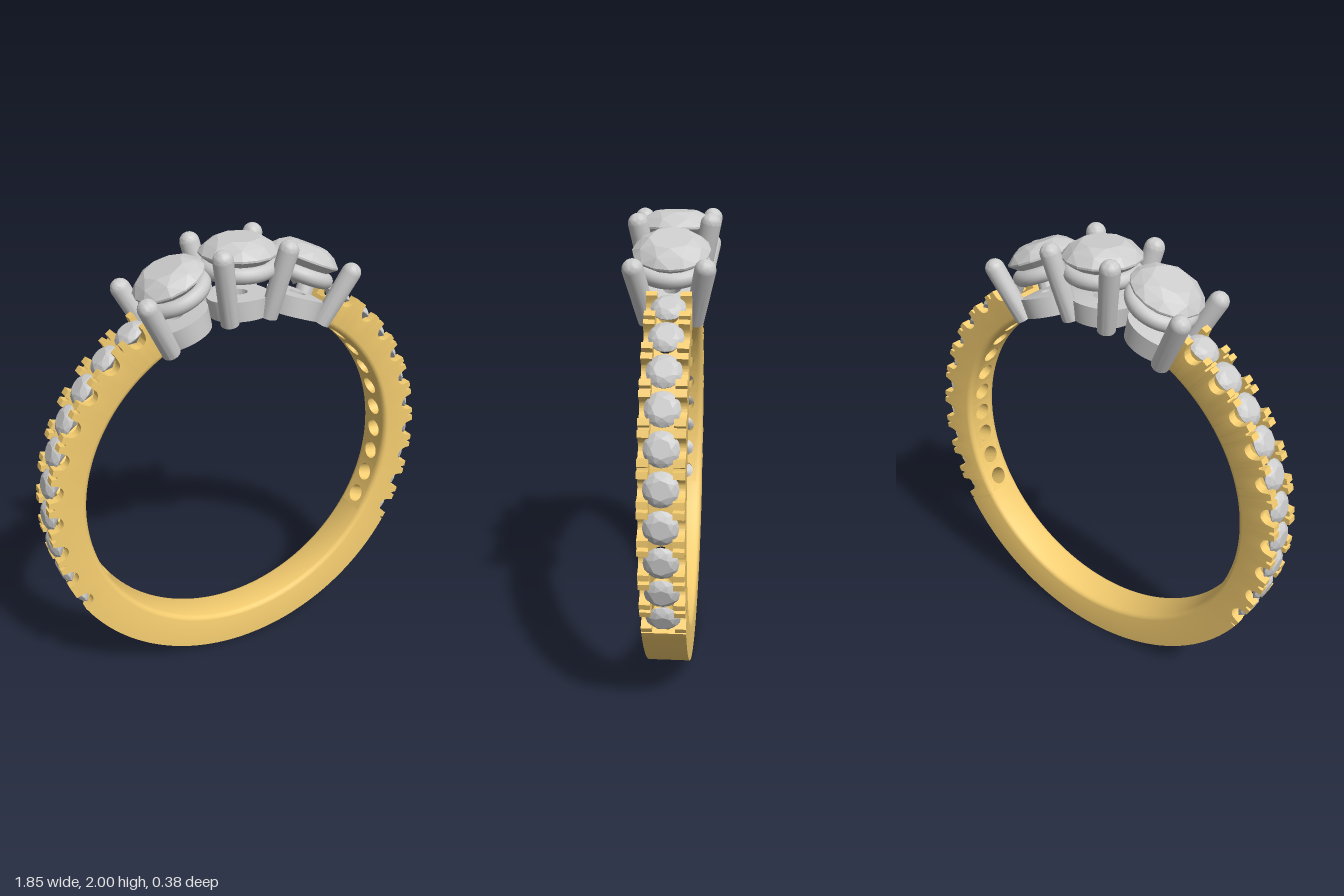
import * as THREE from 'three';
import { toCreasedNormals } from 'three/addons/utils/BufferGeometryUtils.js';
import { ConvexGeometry } from 'three/addons/geometries/ConvexGeometry.js';

const R = 0.922, IN = 0.757, CY = 0.922, HALF = 0.088; // band radii, centre height, half width
const FLOOR = 0.86, COUNT = 10;
const deg = THREE.MathUtils.degToRad;
const FIRST = deg(56.8), PITCH = deg(9.25);            // small stones, counted down from the top

const gold = new THREE.MeshStandardMaterial({ color: 0xf5cd70 });
const grey = new THREE.MeshStandardMaterial({ color: 0xcccccc });

function add(parent, name, geometry, material) {
  const mesh = new THREE.Mesh(geometry, material);
  mesh.name = name;
  parent.add(mesh);
  return mesh;
}

// Sweeps a counter-clockwise [radius, z] section around the ring centre, with end caps
function sweep(section, from, to, steps) {
  const pos = [], index = [];
  let n = 0;
  const put = (r, z, a) => pos.push(r * Math.cos(a), CY + r * Math.sin(a), z);
  for (let j = 0; j <= steps; j++) {
    const a = from + (to - from) * j / steps;
    const pts = section(a);
    n = pts.length;
    pts.forEach(([r, z]) => put(r, z, a));
  }
  for (let j = 0; j < steps; j++) {
    for (let i = 0; i < n; i++) {
      const a = j * n + i, b = j * n + (i + 1) % n;
      index.push(a, a + n, b, b, a + n, b + n);
    }
  }
  [[from, 0], [to, steps * n]].forEach(([a, base], end) => {
    const pts = section(a), c = pos.length / 3;
    put(FLOOR, pts.reduce((s, p) => s + p[1], 0) / n, a);
    for (let i = 0; i < n; i++) {
      const p = base + i, q = base + (i + 1) % n;
      if (end) index.push(c, q, p); else index.push(c, p, q);
    }
  });
  const g = new THREE.BufferGeometry();
  g.setAttribute('position', new THREE.Float32BufferAttribute(pos, 3));
  g.setIndex(index);
  return toCreasedNormals(g, 0.6);
}

// Wraps a flat part around the ring: x runs along the band, y is the radius
function bend(g, angle) {
  const p = g.attributes.position;
  for (let i = 0; i < p.count; i++) {
    const a = angle - p.getX(i) / IN, r = p.getY(i);
    p.setXY(i, r * Math.cos(a), CY + r * Math.sin(a));
  }
  return toCreasedNormals(g, 0.6);
}

// Round brilliant cut, girdle at y = 0
function gem(r) {
  const pts = [new THREE.Vector3(0, -0.82 * r, 0)];
  const ring = (n, rad, y, shift) => {
    for (let i = 0; i < n; i++) {
      const a = (i + shift) / n * Math.PI * 2;
      pts.push(new THREE.Vector3(rad * r * Math.cos(a), y * r, rad * r * Math.sin(a)));
    }
  };
  ring(8, 0.55, 0.34, 0);
  ring(8, 0.82, 0.2, 0.5);
  ring(16, 1, 0, 0);
  ring(16, 1, -0.05, 0);
  return new ConvexGeometry(pts);
}

// Outer radius of the side walls: U-cut beside each stone, thin slit between prongs
function wallRadius(a) {
  const phi = Math.cos(a) < 0 ? Math.PI - a : a;
  const k = THREE.MathUtils.clamp(Math.round((FIRST - phi) / PITCH), 0, COUNT - 1);
  const t = Math.abs(FIRST - k * PITCH - phi) * R;
  if (t < 0.038) return R - 0.02 - Math.sqrt(0.038 ** 2 - t * t);
  return t > 0.068 ? R - 0.022 : R;
}

// Rounded inner edge, from the side face to the bore
const lip = [[IN + 0.022, HALF], [IN + 0.012, 0.085], [IN + 0.004, 0.077], [IN, 0.066]];
const flip = (pts) => pts.map(([r, z]) => [r, -z]).reverse();
const wall = (a) => {
  const r = wallRadius(a);
  return [[IN, 0.058], [FLOOR, 0.058], [FLOOR, 0.045], [r, 0.045], [r, HALF], ...lip];
};

// One length of the band's core, pierced under its stone
function coreCell() {
  const w = PITCH * IN / 2, h = 0.06, n = 8, pts = [];
  for (let i = 0; i <= n; i++) pts.push(new THREE.Vector2(-w + 2 * w * i / n, -h));
  for (let i = n; i >= 0; i--) pts.push(new THREE.Vector2(-w + 2 * w * i / n, h));
  const shape = new THREE.Shape(pts);
  shape.holes.push(new THREE.Path().absarc(0, 0, 0.042, 0, Math.PI * 2, true));
  const g = new THREE.ExtrudeGeometry(shape, { depth: FLOOR - IN, bevelEnabled: false, curveSegments: 24 });
  return g.rotateX(-Math.PI / 2).translate(0, IN, 0);
}

// Claw with a round tip
function prong(parent, name, bottom, top) {
  const a = new THREE.Vector3(...bottom), b = new THREE.Vector3(...top);
  const dir = b.clone().sub(a), len = dir.length(), r = 0.042;
  const profile = [new THREE.Vector2(0, 0), new THREE.Vector2(r * 0.92, 0), new THREE.Vector2(r, len)];
  for (let i = 1; i <= 8; i++) {
    const t = i / 8 * Math.PI / 2;
    profile.push(new THREE.Vector2(i === 8 ? 0 : r * Math.cos(t), len + r * Math.sin(t)));
  }
  const mesh = add(parent, name, toCreasedNormals(new THREE.LatheGeometry(profile, 24), 0.6), grey);
  mesh.position.copy(a);
  mesh.quaternion.setFromUnitVectors(new THREE.Vector3(0, 1, 0), dir.normalize());
}

// Large stone with its gallery ring below
function setting(parent, name, radius, x, y, tilt) {
  const g = new THREE.Group();
  g.name = name;
  g.position.set(x, y, 0);
  g.rotation.z = tilt;
  add(g, 'stone', gem(radius), grey);
  const rail = add(g, 'galleryRing', new THREE.TorusGeometry(radius - 0.033, 0.033, 16, 48), grey);
  rail.rotation.x = Math.PI / 2;
  rail.position.y = -0.068;
  parent.add(g);
}

export function createModel() {
  const model = new THREE.Group();

  // Plain lower band
  const low = FIRST - (COUNT - 0.5) * PITCH;
  const plain = [...flip([[R, HALF], ...lip]), ...[[R, HALF], ...lip]];
  add(model, 'lowerBand', sweep(() => plain, Math.PI - low, Math.PI * 2 + low, 80), gold);

  // Stone-set shoulders
  const high = deg(61), steps = 340;
  for (const side of [1, -1]) {
    const shoulder = new THREE.Group();
    shoulder.name = side > 0 ? 'leftShoulder' : 'rightShoulder';
    const [from, to] = side > 0 ? [low, high] : [Math.PI - high, Math.PI - low];
    add(shoulder, 'frontProngWall', sweep(wall, from, to, steps), gold);
    add(shoulder, 'backProngWall', sweep((a) => flip(wall(a)), from, to, steps), gold);
    for (let k = 0; k < COUNT; k++) {
      const phi = FIRST - k * PITCH, a = side > 0 ? phi : Math.PI - phi;
      add(shoulder, 'piercedCore', bend(coreCell(), a), gold);
      const stone = add(shoulder, 'smallStone', gem(0.068), grey);
      stone.position.set((R - 0.022) * Math.cos(a), CY + (R - 0.022) * Math.sin(a), 0);
      stone.rotation.z = a - Math.PI / 2;
    }
    model.add(shoulder);
  }

  // Head: three large stones
  const head = new THREE.Group();
  head.name = 'head';
  setting(head, 'centreSetting', 0.165, 0, 1.94, 0);
  for (const s of [1, -1]) setting(head, 'sideSetting', 0.155, s * 0.315, 1.87, -s * deg(23));

  // Curved base rings under each stone
  const base = [[0.035, 0], [0.08, 0], [0.125, 0], [0.125, 0.085], [0.08, 0.085], [0.035, 0.085], [0.035, 0]];
  for (const k of [-1, 0, 1]) {
    const ring = new THREE.LatheGeometry(base.map(([r, y]) => new THREE.Vector2(r, y + IN)), 40);
    add(head, 'baseRing', bend(ring, Math.PI / 2 - k * deg(20)), grey);
  }

  // Claws
  for (const x of [1, -1]) {
    for (const z of [1, -1]) {
      prong(head, 'centreProng', [x * 0.09, 1.672, z * 0.095], [x * 0.147, 1.955, z * 0.148]);
      prong(head, 'outerProng', [x * 0.352, 1.595, z * 0.092], [x * 0.463, 1.812, z * 0.138]);
    }
  }
  model.add(head);
  return model;
}
